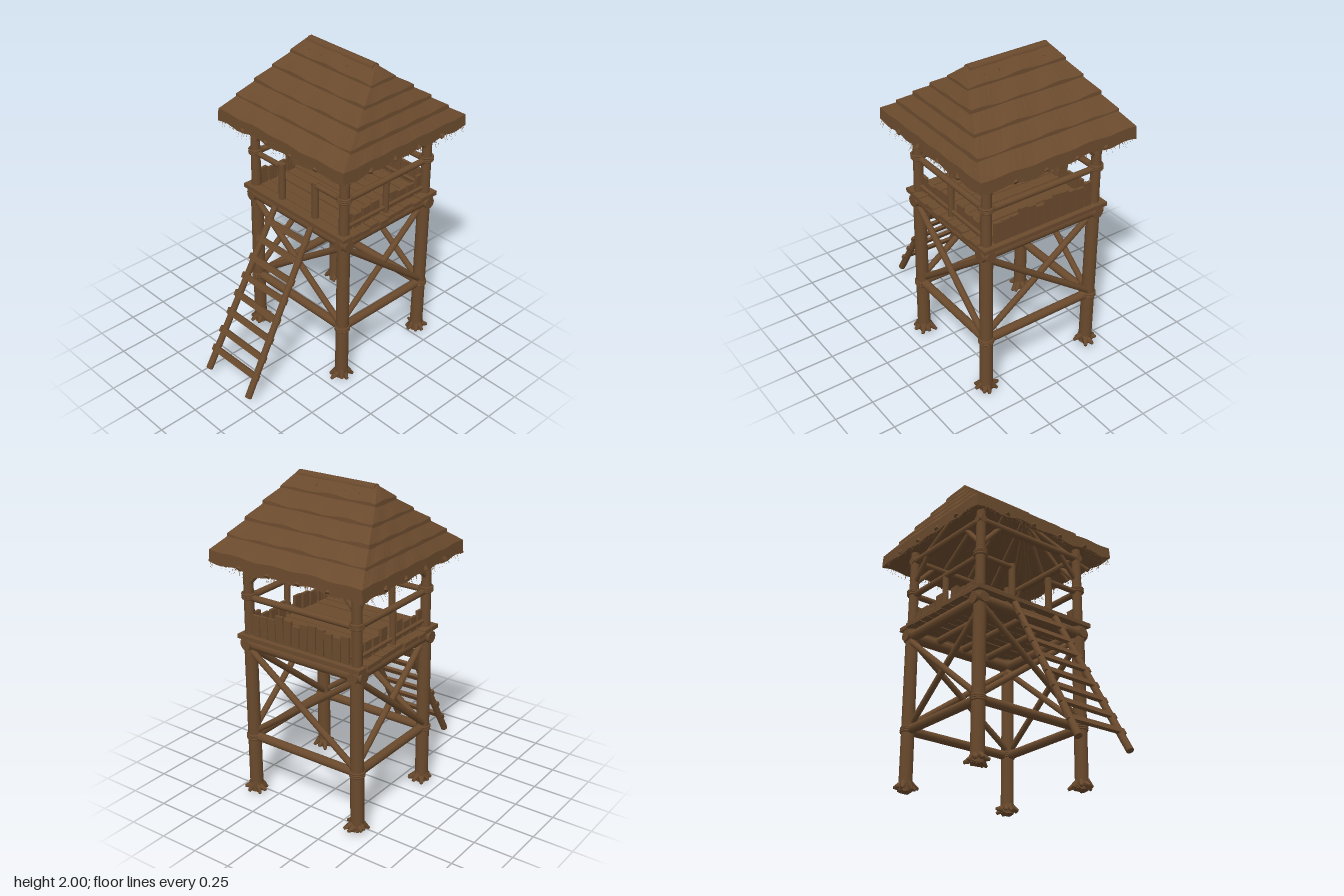
import * as THREE from 'three';
import { mergeGeometries } from 'three/addons/utils/BufferGeometryUtils.js';

const V = (x, y, z) => new THREE.Vector3(x, y, z);
const CZ = -0.205;               // tower centre in z
const PX = 0.385, PZ = 0.345;    // post offsets from the tower centre
const UP = V(0, 1, 0);

export function createModel() {
  const model = new THREE.Group();
  model.name = 'watchtower';
  const wood = new THREE.MeshStandardMaterial({ color: 0x6a4a2d, side: THREE.DoubleSide });
  wood.name = 'brown wood';

  let seed = 7;
  const rnd = (a = 0, b = 1) => {
    seed = (seed * 16807) % 2147483647;
    return a + (b - a) * seed / 2147483647;
  };

  const add = (name, parts) => {
    const mesh = new THREE.Mesh(mergeGeometries(parts.map(g => (g.index ? g.toNonIndexed() : g))), wood);
    mesh.name = name;
    model.add(mesh);
  };
  // Round log between two points
  const log = (a, b, r, rEnd = r, sides = 10) => {
    const d = b.clone().sub(a);
    const g = new THREE.CylinderGeometry(rEnd, r, d.length(), sides);
    g.applyQuaternion(new THREE.Quaternion().setFromUnitVectors(UP, d.normalize()));
    const m = a.clone().add(b).multiplyScalar(0.5);
    return g.translate(m.x, m.y, m.z);
  };
  const box = (w, h, d, x, y, z, tilt = V(0, 0, 0)) =>
    new THREE.BoxGeometry(w, h, d).rotateX(tilt.x).rotateY(tilt.y).rotateZ(tilt.z).translate(x, y, z);

  // Corner posts with bindings and splintered feet
  const posts = [], bindings = [], feet = [];
  const corners = [[-1, 1], [1, 1], [1, -1], [-1, -1]];
  const corner = (k, y) => V(corners[k % 4][0] * PX, y, CZ + corners[k % 4][1] * PZ);
  for (let k = 0; k < 4; k++) {
    posts.push(log(corner(k, 0.02), corner(k, 1.06), 0.041, 0.039, 14));
    posts.push(log(corner(k, 1.0), corner(k, 1.6), 0.032, 0.028, 14));
    const c = corner(k, 0);
    for (const [y, r] of [[0.383, 0.042], [0.395, 0.042], [0.407, 0.042], [1.3, 0.038], [1.312, 0.038], [1.324, 0.038]])
      bindings.push(new THREE.TorusGeometry(r, 0.007, 6, 16).rotateX(Math.PI / 2).translate(c.x, y, c.z));
    for (let i = 0; i < 8; i++) {
      const a = i * Math.PI / 4 + rnd(-0.25, 0.25), reach = rnd(0.055, 0.085);
      feet.push(log(V(c.x + Math.cos(a) * 0.025, rnd(0.045, 0.07), c.z + Math.sin(a) * 0.025),
        V(c.x + Math.cos(a) * reach, rnd(0.015, 0.045), c.z + Math.sin(a) * reach), 0.026, 0.009, 5));
    }
    feet.push(new THREE.DodecahedronGeometry(0.045).scale(1, 0.6, 1).translate(c.x, 0.027, c.z));
  }
  add('cornerPosts', posts);
  add('ropeBindings', bindings);
  add('postFeet', feet);

  // Beams, cross braces and knee braces on all four sides
  const beams = [], braces = [], knees = [];
  for (let k = 0; k < 4; k++) {
    const dir = corner(k + 1, 0).sub(corner(k, 0)).normalize();
    const out = V(-dir.z, 0, dir.x).multiplyScalar(-1);
    const span = (y, over, r) => log(corner(k, y).addScaledVector(dir, -over), corner(k + 1, y).addScaledVector(dir, over), r);
    beams.push(span(1.01, 0.05, k % 2 ? 0.034 : 0.038));
    beams.push(span(0.395, 0, 0.028), span(1.54, 0.03, 0.024));
    [[k, k + 1, 1], [k + 1, k, -1]].forEach(([p, q, s]) => {
      braces.push(log(corner(p, 0.42).addScaledVector(out, 0.012 * s), corner(q, 0.98).addScaledVector(out, 0.012 * s), 0.02));
      const along = dir.clone().multiplyScalar(s);
      knees.push(log(corner(p, 1.39).addScaledVector(along, 0.01), corner(p, 1.54).addScaledVector(along, 0.15), 0.016));
    });
  }
  for (const x of [-0.2, 0, 0.2]) beams.push(log(V(x, 1.025, CZ - 0.37), V(x, 1.025, CZ + 0.37), 0.024));
  add('beams', beams);
  add('crossBraces', braces);
  add('kneeBraces', knees);

  // Deck planks running side to side
  const deck = [];
  for (let i = 0; i < 11; i++) {
    const w = 0.81 / 11;
    deck.push(box(rnd(0.87, 0.895), 0.026, w - 0.006, rnd(-0.004, 0.004), 1.064 + rnd(-0.004, 0.004), CZ - 0.405 + w * (i + 0.5)));
  }
  add('deckPlanks', deck);

  // Railings: open entry in front, tight boards behind, spaced boards at the sides
  const rails = [], boards = [];
  const zf = CZ + PZ, zb = CZ - PZ;
  for (const s of [-1, 1]) {
    rails.push(log(V(s * 0.145, 1.06, zf), V(s * 0.145, 1.32, zf), 0.022));
    rails.push(log(V(s * 0.13, 1.3, zf), V(s * PX, 1.3, zf), 0.018));
    rails.push(log(V(s * PX, 1.3, zf), V(s * PX, 1.3, zb), 0.02));
    rails.push(log(V(s * PX, 1.115, zf), V(s * PX, 1.115, zb), 0.012));
    rails.push(log(V(s * PX, 1.06, CZ), V(s * PX, 1.3, CZ), 0.02));
    for (let i = -4; i <= 4; i++) {
      if (!i) continue;
      const h = rnd(0.1, 0.145);
      boards.push(box(0.018, h, 0.06, s * (PX - 0.015), 1.06 + h / 2, CZ + i * 0.076, V(rnd(-0.04, 0.04), 0, 0)));
    }
  }
  rails.push(log(V(-PX, 1.3, zb), V(PX, 1.3, zb), 0.02), log(V(-PX, 1.115, zb), V(PX, 1.115, zb), 0.012));
  for (let i = 0; i < 12; i++) {
    const h = rnd(0.145, 0.185);
    boards.push(box(0.052, h, 0.018, -0.319 + i * 0.058, 1.06 + h / 2, zb - 0.015, V(0, 0, rnd(-0.04, 0.04))));
  }
  add('railings', rails);
  add('railingBoards', boards);

  // Leaning ladder
  const ladder = [];
  const top = V(0.157, 1.04, 0.185), foot = V(0.187, 0.06, 0.735);
  for (const s of [-1, 1])
    ladder.push(log(V(s * foot.x, foot.y, foot.z), V(s * top.x, top.y, top.z), 0.022, 0.02));
  for (let i = 0; i < 8; i++) {
    const y = 0.185 + i * 0.11, p = foot.clone().lerp(top, (y - foot.y) / (top.y - foot.y));
    ladder.push(box(2 * (p.x + 0.03), 0.038, 0.02, 0, y, p.z + 0.008, V(-0.5, 0, rnd(-0.015, 0.015))));
  }
  add('ladder', ladder);

  // Thatch: five overlapping hipped tiers with wavy lower edges
  const ring = (hx, hz, k) => {
    const [sx, sz] = corners[k % 4];
    return V(sx * hx, 0, CZ + sz * hz);
  };
  const thatch = [];
  for (let i = 0; i < 5; i++) {
    const hx = 0.53 - 0.05 * i, hz = 0.5 - 0.1 * i, y = 1.6 + 0.08 * i, drop = i ? 0.045 : 0.075;
    const ix = hx - 0.06, iz = Math.max(hz - 0.115, 0.002), iy = y + 0.075;
    const rows = [[ix, iz, iy, 0], [hx, hz, y, 0.5], [hx + 0.004, hz + 0.004, y - drop, 1], [ix, iz, iy - drop, 0]];
    const wave = p => 0.009 * Math.sin(p.x * 24 + i * 2.1) + 0.007 * Math.sin(p.z * 31 + p.x * 9 + i * 1.3);
    const pos = [], N = 24;
    for (let k = 0; k < 4; k++) {
      const at = (r, j) => {
        const [x, z, h, w] = rows[r];
        const p = ring(x, z, k).lerp(ring(x, z, k + 1), j / N);
        p.y = h + w * wave(p);
        return p;
      };
      for (let r = 0; r < 3; r++) for (let j = 0; j < N; j++) {
        const a = at(r, j), b = at(r, j + 1), c = at(r + 1, j), d = at(r + 1, j + 1);
        for (const p of [a, c, b, b, c, d]) pos.push(p.x, p.y, p.z);
      }
    }
    const g = new THREE.BufferGeometry();
    g.setAttribute('position', new THREE.Float32BufferAttribute(pos, 3));
    g.computeVertexNormals();
    thatch.push(g);
  }
  add('thatchTiers', thatch);

  // Loose straw along the eaves
  const straw = [];
  for (let k = 0; k < 4; k++) for (let j = 0; j < 110; j++) {
    const a = ring(0.525, 0.495, k).lerp(ring(0.525, 0.495, k + 1), rnd());
    const out = V(k === 1 ? 1 : k === 3 ? -1 : 0, 0, k === 0 ? 1 : k === 2 ? -1 : 0);
    const side = V(out.z, 0, -out.x);
    a.y = 1.54;
    const tip = a.clone().addScaledVector(out, rnd(0, 0.03)).addScaledVector(side, rnd(-0.015, 0.015));
    tip.y = rnd(1.475, 1.52);
    const l = a.clone().addScaledVector(side, -0.0015), r = a.clone().addScaledVector(side, 0.0015);
    straw.push(l.x, l.y, l.z, tip.x, tip.y, tip.z, r.x, r.y, r.z);
  }
  const strawGeo = new THREE.BufferGeometry();
  strawGeo.setAttribute('position', new THREE.Float32BufferAttribute(straw, 3));
  strawGeo.computeVertexNormals();
  add('strawFringe', [strawGeo]);

  // Rafters under the thatch
  const rafters = [];
  for (const s of [-1, 1]) {
    for (const x of [-0.31, -0.105, 0.105, 0.31])
      rafters.push(log(V(x, 1.53, CZ + s * 0.505), V(x * 0.75, 1.92, CZ), 0.016, 0.014, 8));
    for (const z of [-0.3, -0.1, 0.1, 0.3])
      rafters.push(log(V(s * 0.535, 1.53, CZ + z), V(s * 0.25, 1.92, CZ), 0.016, 0.012, 8));
    for (const t of [-1, 1])
      rafters.push(log(V(s * 0.51, 1.54, CZ + t * 0.48), V(s * 0.25, 1.92, CZ), 0.018, 0.014, 8));
  }
  add('rafters', rafters);

  // Ridge log with pegs
  const ridge = [log(V(-0.268, 1.972, CZ), V(0.268, 1.972, CZ), 0.028, 0.028, 12)];
  for (let i = -2; i <= 2; i++) for (const s of [-1, 1])
    ridge.push(log(V(i * 0.1, 1.945, CZ + s * 0.065), V(i * 0.1, 1.985, CZ - s * 0.01), 0.005, 0.005, 6));
  add('ridgeLog', ridge);

  return model;
}
